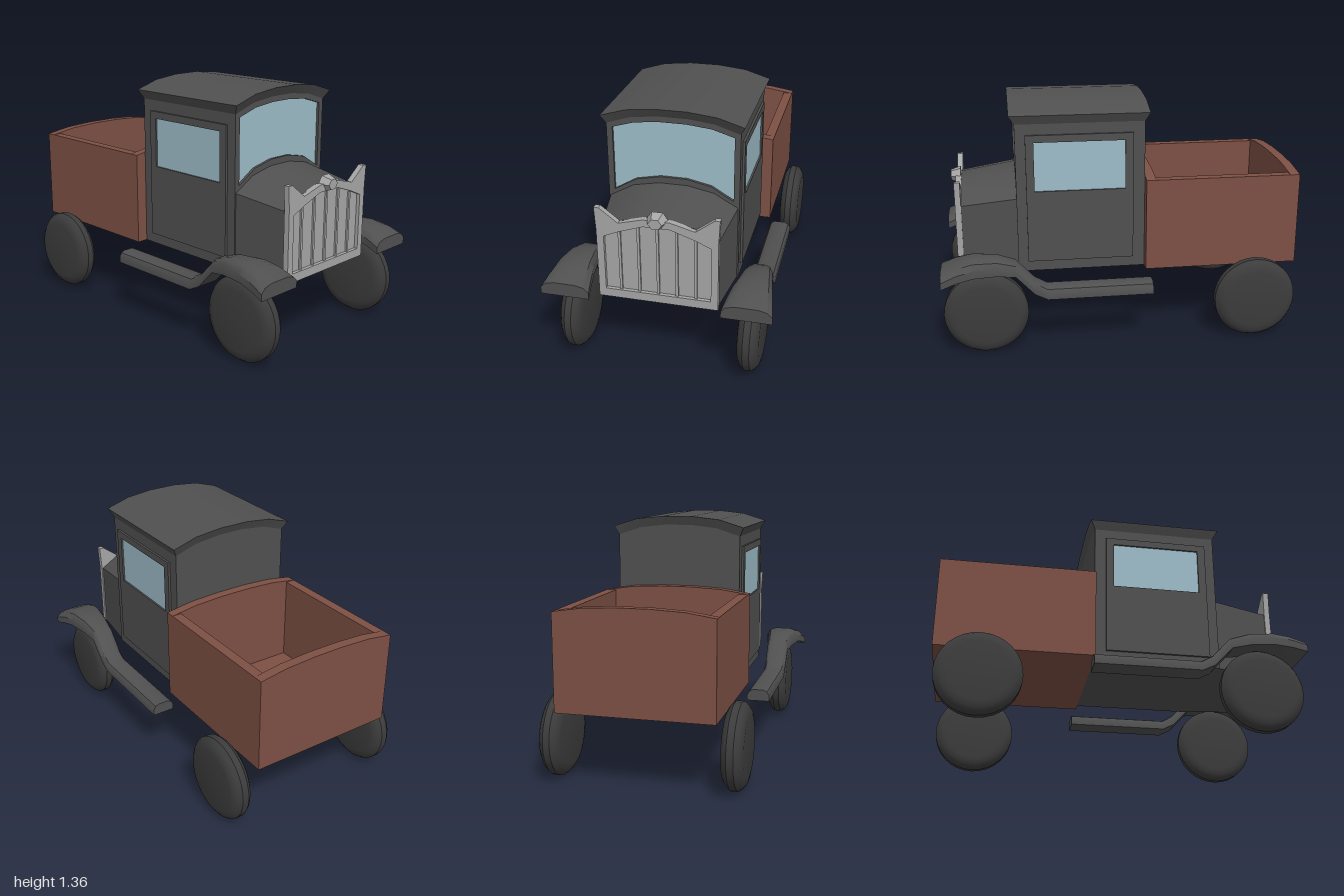
import * as THREE from 'three';
import { toCreasedNormals } from 'three/addons/utils/BufferGeometryUtils.js';

const material = (color, side = THREE.FrontSide) => new THREE.MeshStandardMaterial({ color, side });
const paint = material(0x505050);
const rubber = material(0x3c3c3c);
const wood = material(0x7d5044);
const glass = material(0x9dbcc8);
const metal = material(0xa6a6a6);

function add(parent, name, geometry, mat, x = 0, y = 0, z = 0) {
  const mesh = new THREE.Mesh(toCreasedNormals(geometry, 0.6), mat);
  mesh.name = name;
  mesh.position.set(x, y, z);
  parent.add(mesh);
  return mesh;
}

// Box given by its lower and upper corners
function block(parent, name, mat, [x0, y0, z0], [x1, y1, z1]) {
  return add(parent, name, new THREE.BoxGeometry(x1 - x0, y1 - y0, z1 - z0), mat,
    (x0 + x1) / 2, (y0 + y1) / 2, (z0 + z1) / 2);
}

// Skin over sections running from back to front; each is [lower row, upper row], left to right
function loft(sections) {
  const pos = [];
  const quad = (a, b, c, d) => pos.push(...a, ...b, ...c, ...a, ...c, ...d);
  const rings = sections.map(([low, up]) => [...low, ...[...up].reverse()]);
  for (let i = 0; i < rings.length - 1; i++) {
    const n = rings[i].length;
    for (let j = 0; j < n; j++) {
      const k = (j + 1) % n;
      quad(rings[i][j], rings[i][k], rings[i + 1][k], rings[i + 1][j]);
    }
  }
  const [backLow, backUp] = sections[0];
  const [frontLow, frontUp] = sections[sections.length - 1];
  for (let j = 0; j < backLow.length - 1; j++) {
    quad(backLow[j + 1], backLow[j], backUp[j], backUp[j + 1]);
    quad(frontLow[j], frontLow[j + 1], frontUp[j + 1], frontUp[j]);
  }
  const geometry = new THREE.BufferGeometry();
  geometry.setAttribute('position', new THREE.Float32BufferAttribute(pos, 3));
  return geometry;
}

// Row of points arched from the sides up to the middle (rise 0 gives a straight row)
const spread = [-1, -0.63, -0.22, 0.22, 0.63, 1];
const crown = [0, 0.72, 1, 1, 0.72, 0];
const arch = (halfWidth, y, rise, z) => spread.map((s, i) => [s * halfWidth, y + crown[i] * rise, z]);

const outline = (points) => new THREE.Shape(points.map(([x, y]) => new THREE.Vector2(x, y)));
const extrude = (shape, depth) => new THREE.ExtrudeGeometry(shape, { depth, bevelEnabled: false });
const mirrored = (half) => [...half, ...half.map(([x, y]) => [-x, y]).reverse()];

function buildCab() {
  const cab = new THREE.Group();
  cab.name = 'cab';
  const W = 0.357;
  add(cab, 'cabBody', loft([-0.13, 0.56].map((z) => [arch(W, 0.41, 0, z), arch(W, 1.25, 0.06, z)])), paint);

  // Windscreen surround with an opening that follows the bonnet and the roof
  const opening = [...arch(0.325, 0.87, 0.1, 0), ...arch(0.325, 1.23, 0.05, 0).reverse()];
  const front = outline([[-W, 0.41], [W, 0.41], ...arch(W, 1.25, 0.06, 0).reverse()]);
  front.holes.push(outline(opening));
  add(cab, 'windscreenFrame', extrude(front, 0.02), paint, 0, 0, 0.56);
  add(cab, 'windscreen', extrude(outline(opening), 0.005), glass, 0, 0, 0.56);

  // Roof whose edge flares out all round
  const roofEnd = (zLow, zUp) => [arch(W, 1.25, 0.06, zLow), arch(0.382, 1.3, 0.06, zUp)];
  add(cab, 'roof', loft([roofEnd(-0.13, -0.155), roofEnd(0.58, 0.61)]), paint);

  // Doors with windows
  const rect = (z0, z1, y0, y1) => outline([[-z1, y0], [-z0, y0], [-z0, y1], [-z1, y1]]);
  const door = rect(-0.065, 0.525, 0.47, 1.19);
  door.holes.push(rect(-0.02, 0.48, 0.875, 1.15));
  const doorGeometry = extrude(door, 0.02).rotateY(Math.PI / 2);
  for (const s of [-1, 1]) {
    const side = s > 0 ? 'left' : 'right';
    add(cab, side + 'Door', doorGeometry, paint, s * 0.36 - 0.01);
    block(cab, side + 'Window', glass, [s * 0.356 - 0.004, 0.875, -0.02], [s * 0.356 + 0.004, 1.15, 0.48]);
  }
  return cab;
}

function buildNose() {
  const nose = new THREE.Group();
  nose.name = 'nose';
  add(nose, 'bonnet', loft([
    [arch(0.35, 0.41, 0, 0.575), arch(0.35, 0.833, 0.102, 0.575)],
    [arch(0.31, 0.41, 0, 0.89), arch(0.31, 0.79, 0.095, 0.89)],
  ]), paint);

  // Radiator shell with raised corners
  const shell = outline(mirrored([[0.318, 0.41], [0.318, 0.8], [0.325, 0.93], [0.298, 0.93], [0.2, 0.855], [0.07, 0.89]]));
  const core = outline(mirrored([[0.28, 0.458], [0.28, 0.77], [0.2, 0.805], [0.07, 0.85]]));
  shell.holes.push(core);
  add(nose, 'radiatorShell', extrude(shell, 0.032), metal, 0, 0, 0.883);
  add(nose, 'radiatorCore', extrude(core, 0.01), metal, 0, 0, 0.885);
  for (const [x, top] of [[-0.2, 0.8], [-0.1, 0.835], [0, 0.85], [0.1, 0.835], [0.2, 0.8]]) {
    block(nose, 'radiatorBar', metal, [x - 0.007, 0.458, 0.89], [x + 0.007, top, 0.905]);
  }
  const cap = new THREE.CylinderGeometry(0.036, 0.058, 0.055, 6).rotateY(Math.PI / 6).rotateX(Math.PI / 2);
  add(nose, 'radiatorCap', cap, metal, 0, 0.885, 0.915).scale.y = 0.85;
  return nose;
}

function buildBed() {
  const bed = new THREE.Group();
  bed.name = 'cargoBed';
  block(bed, 'bedFloor', wood, [-0.42, 0.41, -1], [0.42, 0.45, -0.13]);
  for (const s of [-1, 1]) {
    const x = s * 0.3925;
    block(bed, 'bedSide', wood, [x - 0.0275, 0.41, -1], [x + 0.0275, 0.93, -0.13]);
  }
  for (const z of [-1, -0.185]) {
    const ends = [z, z + 0.055].map((e) => [arch(0.42, 0.41, 0, e), arch(0.42, 0.93, 0.032, e)]);
    add(bed, 'bedEnd', loft(ends), wood);
  }
  return bed;
}

// Fender and running board in one sweep: z, top, bottom, half width
const fenderPath = [
  [-0.155, 0.375, 0.31, 0.064], [0.43, 0.375, 0.31, 0.064], [0.5, 0.415, 0.345, 0.064],
  [0.6, 0.522, 0.452, 0.066], [0.7, 0.553, 0.47, 0.082], [0.83, 0.56, 0.472, 0.103],
  [0.92, 0.54, 0.455, 0.118], [1, 0.505, 0.43, 0.132],
];
function fenderGeometry() {
  const across = [-1, -0.8, -0.45, 0.45, 0.8, 1];
  const height = [0.5, 0.85, 1, 1, 0.85, 0.5];
  return loft(fenderPath.map(([z, top, bottom, w]) => [
    across.map((a) => [a * w, bottom, z]),
    across.map((a, i) => [a * w, bottom + (top - bottom) * height[i], z]),
  ]));
}

// Solid disc wheel with a rounded tyre
function wheelGeometry() {
  const half = [[0, 0.055], [0.165, 0.058], [0.195, 0.052], [0.216, 0.038], [0.231, 0.018]];
  const profile = [...half.map(([r, x]) => [r, -x]), ...[...half].reverse()];
  return new THREE.LatheGeometry(profile.map(([r, x]) => new THREE.Vector2(r, x)), 32).rotateZ(Math.PI / 2);
}

export function createModel() {
  const truck = new THREE.Group();
  truck.name = 'pickupTruck';
  truck.add(buildCab(), buildNose(), buildBed());
  const fender = fenderGeometry();
  const wheel = wheelGeometry();
  for (const s of [-1, 1]) {
    const side = s > 0 ? 'left' : 'right';
    add(truck, side + 'Fender', fender, paint, s * 0.48);
    add(truck, side + 'FrontWheel', wheel, rubber, s * 0.48, 0.232, 0.767);
    add(truck, side + 'RearWheel', wheel, rubber, s * 0.48, 0.232, -0.75);
  }
  return truck;
}
